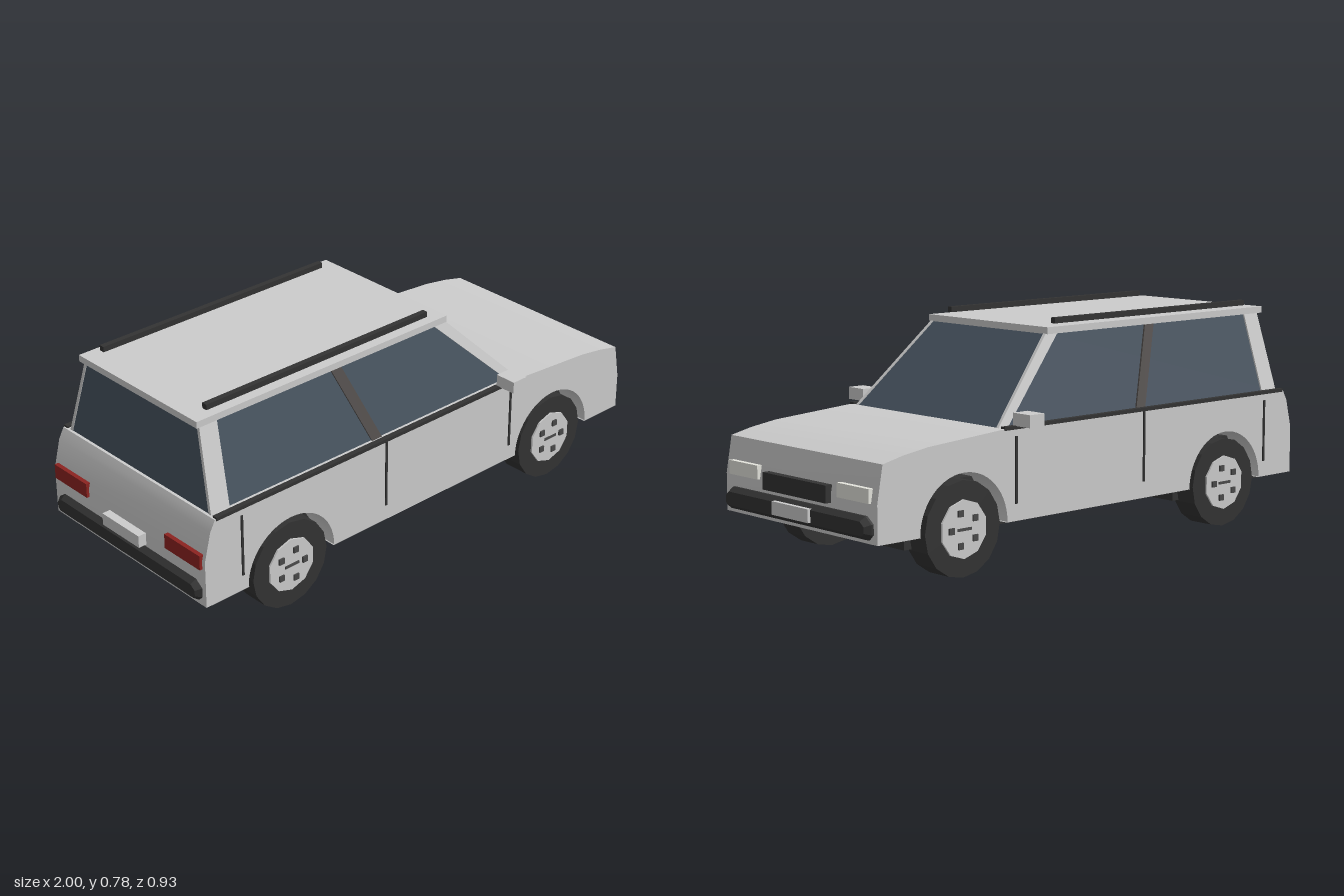
import * as THREE from 'three';
import { toCreasedNormals } from 'three/addons/utils/BufferGeometryUtils.js';

const mat = (color, flat = true) => new THREE.MeshStandardMaterial({ color, flatShading: flat });
const GREY = mat(0xcccccc), PAINT = mat(0xcccccc, false), DARK = mat(0x333333), TRIM = mat(0x494949);
const GLASS = mat(0x46525e), LAMP = mat(0xe4e4dc), RED = mat(0x8c2320), PILLAR = mat(0x504c4a);
const AXLES = [-0.615, 0.61];

export function createModel() {
  const car = new THREE.Group();
  car.name = 'stationWagon';

  const add = (name, geometry, material, parent = car) => {
    const mesh = new THREE.Mesh(geometry, material);
    mesh.name = name;
    parent.add(mesh);
    return mesh;
  };
  // box given by its limits on each axis
  const box = (name, [x0, x1], [y0, y1], [z0, z1], material, parent) => {
    const mesh = add(name, new THREE.BoxGeometry(x1 - x0, y1 - y0, z1 - z0), material, parent);
    mesh.position.set((x0 + x1) / 2, (y0 + y1) / 2, (z0 + z1) / 2);
    return mesh;
  };
  const outline = (points) => new THREE.Shape(points.map(([x, y]) => new THREE.Vector2(x, y)));
  // side outline extruded across the car between two z values
  const extrude = (shape, z0, z1) =>
    new THREE.ExtrudeGeometry(shape, { depth: z1 - z0, bevelEnabled: false, curveSegments: 14 }).translate(0, 0, z0);
  // side walls of the cabin lean inwards towards the roof
  const cabinHalf = (y) => 0.36 - (y - 0.455) * 0.268;
  const lean = (geometry, rule) => {
    const p = geometry.attributes.position;
    for (let i = 0; i < p.count; i++) p.setZ(i, rule(p.getY(i), p.getZ(i)));
    geometry.computeVertexNormals();
    return geometry;
  };

  // lower body with two wheel arches cut through
  const body = new THREE.Shape();
  body.moveTo(-0.97, 0.153);
  for (const x of AXLES) {
    body.lineTo(x - 0.18, 0.153);
    body.absarc(x, 0.155, 0.183, Math.PI, 0, true);
    body.lineTo(x + 0.18, 0.153);
  }
  [[0.962, 0.153], [0.962, 0.28], [0.94, 0.402], [0.86, 0.42], [0.76, 0.435], [0.6, 0.446], [0.44, 0.457],
    [-0.925, 0.457], [-0.945, 0.42], [-0.97, 0.32]].forEach(([x, y]) => body.lineTo(x, y));
  body.closePath();
  add('body', toCreasedNormals(extrude(body, -0.394, 0.394), 0.4), PAINT);

  // underside and wheel wells
  box('floorPan', [-0.87, 0.86], [0.135, 0.156], [-0.33, 0.33], DARK);
  for (const x of AXLES) {
    const well = [[-0.177, 0.1], [0.177, 0.1], [0.177, 0.19], [0.105, 0.303], [-0.105, 0.303], [-0.177, 0.19]];
    add('wheelWell', extrude(outline(well.map(([a, y]) => [x + a, y])), -0.308, 0.308), DARK);
  }

  // glazed cabin
  const cabin = extrude(outline([[-0.915, 0.455], [0.437, 0.455], [0.155, 0.737], [-0.89, 0.737]]), -1, 1);
  add('cabinGlass', lean(cabin, (y, z) => z * cabinHalf(y)), GLASS);

  // roof
  box('roof', [-0.908, 0.162], [0.733, 0.756], [-0.3, 0.3], GREY);

  // upright strips on the cabin sides: name, outline, material
  const strips = [
    ['rearPillar', [[-0.917, 0.455], [-0.842, 0.455], [-0.822, 0.737], [-0.892, 0.737]], GREY],
    ['centrePillar', [[-0.235, 0.455], [-0.192, 0.455], [-0.31, 0.737], [-0.353, 0.737]], PILLAR],
    ['frontPillar', [[0.4, 0.455], [0.442, 0.455], [0.16, 0.737], [0.105, 0.737]], GREY],
  ];

  for (const side of [1, -1]) {
    const half = new THREE.Group();
    half.name = side > 0 ? 'leftSide' : 'rightSide';
    car.add(half);
    const span = (a, b) => (side > 0 ? [a, b] : [-b, -a]);

    for (const [name, points, material] of strips) {
      add(name, lean(extrude(outline(points), -0.006, 0.006), (y, z) => side * cabinHalf(y) + z), material, half);
    }
    box('beltTrim', [-0.92, 0.44], [0.452, 0.464], span(0.378, 0.397), DARK, half);
    for (const [x, top] of [[-0.82, 0.43], [-0.2, 0.455], [0.39, 0.43]]) {
      box('doorSeam', [x - 0.004, x + 0.004], [0.21, top], span(0.38, 0.398), DARK, half);
    }
    box('roofRail', [-0.845, 0.1], [0.762, 0.781], span(0.251, 0.271), DARK, half);
    box('mirror', [0.33, 0.393], [0.463, 0.505], span(0.384, 0.463), GREY, half);
    box('headlight', [0.935, 0.972], [0.28, 0.326], span(0.208, 0.364), LAMP, half);
    box('tailLight', [-0.98, -0.95], [0.29, 0.342], span(0.205, 0.38), RED, half);

    // wheels
    AXLES.forEach((x, i) => {
      const wheel = new THREE.Group();
      wheel.name = i ? 'frontWheel' : 'rearWheel';
      wheel.position.set(x, 0.156, side * 0.338);
      half.add(wheel);
      const disc = (name, r, width, sides, material) =>
        add(name, new THREE.CylinderGeometry(r, r, width, sides).rotateX(Math.PI / 2), material, wheel);
      disc('tyre', 0.157, 0.095, 16, DARK);
      disc('rim', 0.096, 0.108, 10, GREY);
      for (let k = 0; k < 5; k++) {
        const a = (k * 2 * Math.PI) / 5;
        const bolt = add('wheelBolt', new THREE.BoxGeometry(0.021, 0.021, 0.016), TRIM, wheel);
        bolt.position.set(0.055 * Math.cos(a), 0.055 * Math.sin(a), side * 0.052);
      }
      const cap = add('hubBar', new THREE.BoxGeometry(0.058, 0.009, 0.016), TRIM, wheel);
      cap.position.z = side * 0.05;
    });
  }

  // bumpers and number plates at both ends
  const bumperFace = [[-0.352, 0.18], [0.352, 0.18], [0.362, 0.19], [0.362, 0.21], [0.342, 0.225],
    [-0.342, 0.225], [-0.362, 0.21], [-0.362, 0.19]];
  for (const end of [1, -1]) {
    const geometry = new THREE.ExtrudeGeometry(outline(bumperFace), {
      depth: 0.03, bevelEnabled: true, bevelThickness: 0.02, bevelSize: 0.014, bevelSegments: 1,
    });
    const bumper = add(end > 0 ? 'frontBumper' : 'rearBumper', geometry, DARK);
    bumper.rotation.y = end * Math.PI / 2;
    bumper.position.x = end * 0.94;
  }
  box('frontPlate', [0.97, 1], [0.185, 0.229], [-0.095, 0.095], GREY);
  box('rearPlate', [-1, -0.96], [0.247, 0.29], [-0.095, 0.095], GREY);
  box('grille', [0.935, 0.983], [0.255, 0.312], [-0.165, 0.165], DARK);

  return car;
}
